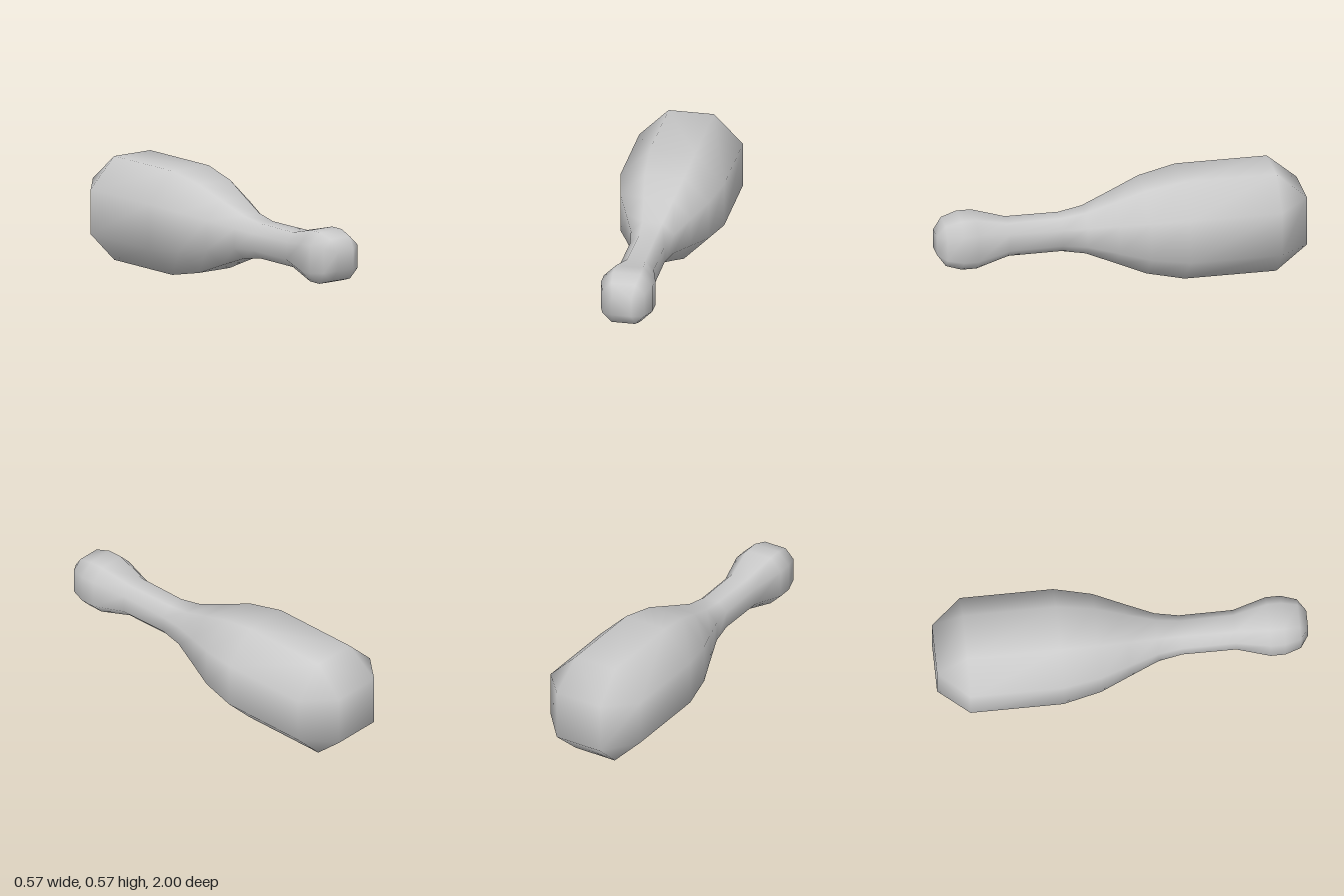
import * as THREE from 'three';
import { mergeVertices } from 'three/addons/utils/BufferGeometryUtils.js';

// Sections from head (front) to base (back): z, half width, half length of the upright facet.
// Equal half values give a square end face.
const SECTIONS = [
  [1, 0.052, 0.052],
  [0.955, 0.115, 0.065],
  [0.87, 0.14, 0.075],
  [0.79, 0.14, 0.075],
  [0.61, 0.095, 0.048],
  [0.32, 0.095, 0.045],
  [0.19, 0.117, 0.054],
  [0.03, 0.178, 0.08],
  [-0.13, 0.241, 0.106],
  [-0.335, 0.283, 0.123],
  [-0.835, 0.283, 0.123],
  [-1, 0.138, 0.138],
];
const CENTER_Y = 0.283;

// Eight-sided cross-section, anticlockwise seen from the front
const octagon = (a, b) => [[a, -b], [a, b], [b, a], [-b, a], [-a, b], [-a, -b], [-b, -a], [b, -a]];

function loft(sections) {
  const positions = [];
  const index = [];
  const n = 8;
  for (const [z, a, b] of sections) {
    for (const [x, y] of octagon(a, b)) positions.push(x, y + CENTER_Y, z);
  }
  // Side walls
  for (let i = 0; i < sections.length - 1; i++) {
    for (let k = 0; k < n; k++) {
      const f0 = i * n + k;
      const f1 = i * n + ((k + 1) % n);
      index.push(f0, f0 + n, f1 + n, f0, f1 + n, f1);
    }
  }
  // End faces
  const last = (sections.length - 1) * n;
  for (let k = 1; k < n - 1; k++) {
    index.push(0, k, k + 1, last, last + k + 1, last + k);
  }
  let geometry = new THREE.BufferGeometry();
  geometry.setAttribute('position', new THREE.Float32BufferAttribute(positions, 3));
  geometry.setIndex(index);

  // Weld the square corners and drop the triangles that collapse there
  geometry = mergeVertices(geometry);
  const welded = geometry.index.array;
  const kept = [];
  for (let i = 0; i < welded.length; i += 3) {
    const [a, b, c] = [welded[i], welded[i + 1], welded[i + 2]];
    if (a !== b && b !== c && c !== a) kept.push(a, b, c);
  }
  geometry.setIndex(kept);
  geometry.computeVertexNormals();
  return geometry;
}

export function createModel() {
  const group = new THREE.Group();
  group.name = 'bowlingPin';
  // One smooth skin from head through neck and belly to base
  const body = new THREE.Mesh(loft(SECTIONS), new THREE.MeshStandardMaterial({ color: 0xcccccc }));
  body.name = 'pinBody';
  group.add(body);
  return group;
}
